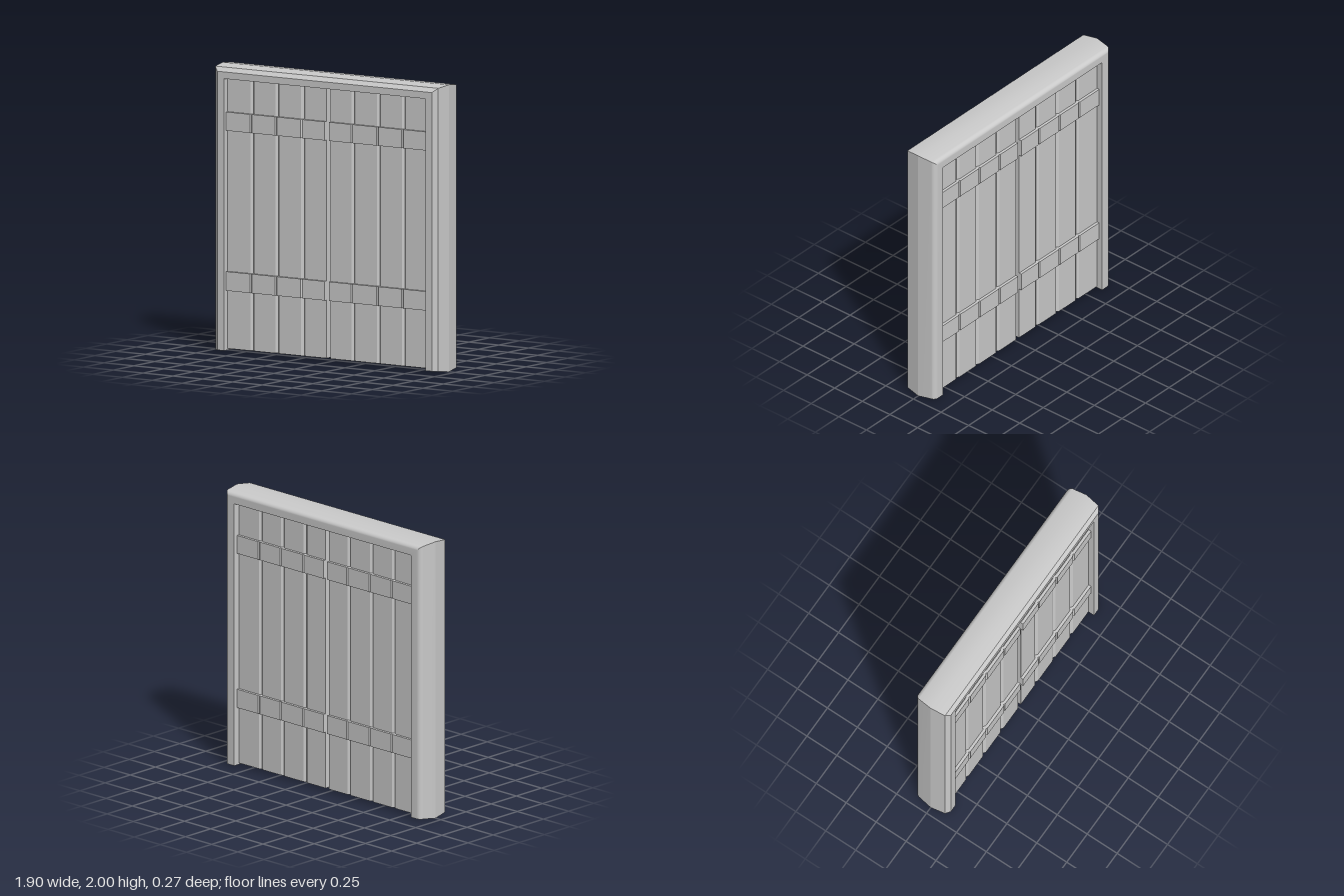
import * as THREE from 'three';
import { toCreasedNormals } from 'three/addons/utils/BufferGeometryUtils.js';

const W = 0.95, H = 2, INNER = 0.845, GAP = 0.017;
const JOINTS = [0.21, 0.425, 0.635];
const material = new THREE.MeshStandardMaterial({ color: 0xcccccc, side: THREE.DoubleSide });

// Section of the frame as [inward offset, z]: chamfered front, shallow outer ridge, rounded back
function frameSection() {
  const pts = [[W - INNER, 0.135], [0.05, 0.135], [0.015, 0.11], [0, 0], [0.013, -0.1]];
  for (let i = 1; i <= 8; i++) {
    const a = (i / 8) * Math.PI / 2;
    pts.push([0.013 + 0.037 * (1 - Math.cos(a)), -0.1 - 0.037 * Math.sin(a)]);
  }
  pts.push([W - INNER, -0.137]);
  return pts;
}

// Section swept up one post, across the lintel and down the other, with mitred corners and open feet
function frameGeometry() {
  const section = frameSection(), n = section.length;
  const foot = z => Math.min(0.015, Math.abs(z) * 0.14);
  const rings = [
    ([o, z]) => [-W + o, foot(z), z],
    ([o, z]) => [-W + o, H - o * 0.86, z],
    ([o, z]) => [W - o, H - o * 0.86, z],
    ([o, z]) => [W - o, foot(z), z],
  ];
  const pos = rings.flatMap(f => section.flatMap(f));
  const index = [];
  for (let r = 0; r < 3; r++) {
    for (let i = 0; i < n; i++) {
      const a = r * n + i, b = r * n + (i + 1) % n;
      index.push(a, a + n, b, b, a + n, b + n);
    }
  }
  const g = new THREE.BufferGeometry();
  g.setAttribute('position', new THREE.Float32BufferAttribute(pos, 3));
  g.setIndex(index);
  return toCreasedNormals(g, 0.25);
}

// Slab with V-grooves at the plank joints on both faces, standing from y0 to y1
function groovedSlab(side, y0, y1, depth, grooveWidth, grooveDepth) {
  const face = [[GAP, depth]];
  for (const x of JOINTS) {
    face.push([x - grooveWidth, depth], [x, depth - grooveDepth], [x + grooveWidth, depth]);
  }
  face.push([INNER + 0.002, depth]);
  const outline = [...face, ...face.map(([x, z]) => [x, -z]).reverse()];
  const shape = new THREE.Shape(outline.map(([x, z]) => new THREE.Vector2(x * side, z)));
  const g = new THREE.ExtrudeGeometry(shape, { depth: y1 - y0, bevelEnabled: false });
  g.rotateX(-Math.PI / 2);
  g.translate(0, y0, 0);
  return g;
}

export function createModel() {
  const root = new THREE.Group();
  root.name = 'doubleDoor';
  const add = (parent, geometry, name) => {
    const mesh = new THREE.Mesh(geometry, material);
    mesh.name = name;
    parent.add(mesh);
  };

  add(root, frameGeometry(), 'doorFrame');

  // Two mirrored leaves, each of four planks with an upper and a lower cross band
  for (const side of [-1, 1]) {
    const leaf = new THREE.Group();
    leaf.name = side > 0 ? 'leftLeaf' : 'rightLeaf';
    add(leaf, groovedSlab(side, 0.025, 1.912, 0.09, 0.018, 0.012), 'planks');
    add(leaf, groovedSlab(side, 1.545, 1.675, 0.11, 0.008, 0.008), 'upperBand');
    add(leaf, groovedSlab(side, 0.43, 0.563, 0.11, 0.008, 0.008), 'lowerBand');
    root.add(leaf);
  }
  return root;
}
